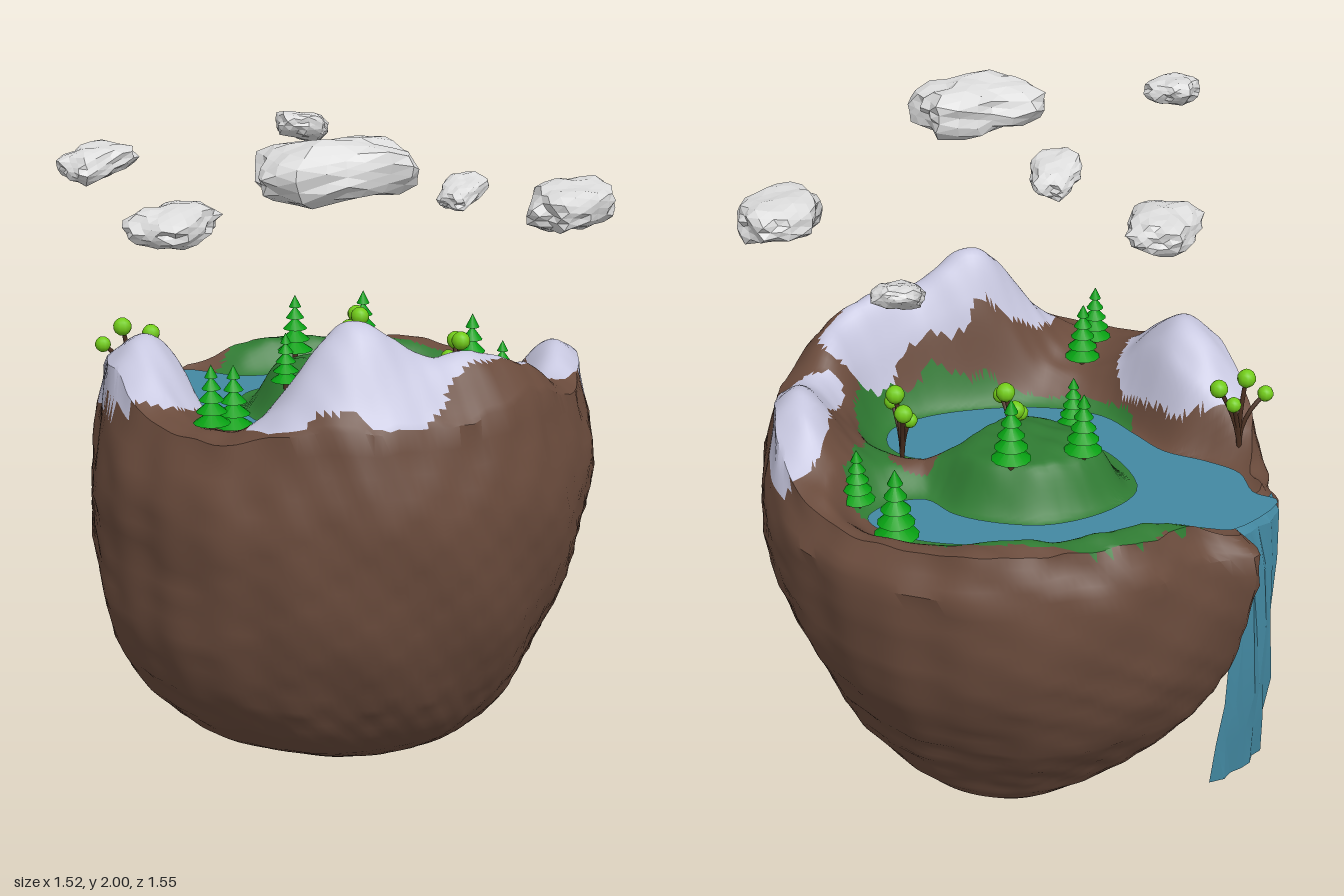
import * as THREE from 'three';
import { toCreasedNormals } from 'three/addons/utils/BufferGeometryUtils.js';

const { smoothstep, lerp } = THREE.MathUtils;
const mat = (name, color, side = THREE.FrontSide) => {
  const m = new THREE.MeshStandardMaterial({ color, side });
  m.name = name;
  return m;
};
const WATER = 1.04, SEG = 200, TOP_RINGS = 60;
const FALL_ANGLE = Math.atan2(-0.5, -0.58);

// Smooth closed outline in the x-z plane
const outline = (pts, n) => new THREE.CatmullRomCurve3(
  pts.map(([x, z]) => new THREE.Vector3(x, 0, z)), true, 'centripetal').getPoints(n);

const lake = outline([
  [-0.48, -0.58], [-0.42, -0.56], [-0.3, -0.5], [-0.15, -0.52], [0, -0.535], [0.2, -0.49], [0.37, -0.42],
  [0.47, -0.33], [0.49, -0.26], [0.42, -0.2], [0.31, -0.2], [0.25, -0.3], [0.14, -0.38], [0, -0.425],
  [-0.18, -0.39], [-0.29, -0.3], [-0.29, -0.12], [-0.22, 0.02], [-0.08, 0.12], [0.08, 0.09], [0.2, 0.03],
  [0.3, 0.05], [0.35, 0.14], [0.32, 0.24], [0.2, 0.295], [0, 0.3], [-0.2, 0.25], [-0.33, 0.16],
  [-0.39, 0.02], [-0.44, -0.1], [-0.54, -0.19], [-0.61, -0.28], [-0.61, -0.4], [-0.66, -0.46]], 150);
const meadow = outline([
  [-0.42, -0.53], [-0.33, -0.63], [-0.2, -0.7], [0, -0.69], [0.2, -0.63], [0.38, -0.53], [0.39, -0.42],
  [0.47, -0.27], [0.54, -0.2], [0.51, -0.08], [0.43, 0.02], [0.43, 0.25], [0.33, 0.33], [0.15, 0.38],
  [-0.1, 0.34], [-0.28, 0.27], [-0.39, 0.15], [-0.36, 0], [-0.33, -0.25]], 90);
const snowfields = [
  [[-0.28, 0.55], [-0.21, 0.46], [-0.1, 0.43], [0.05, 0.41], [0.2, 0.41], [0.35, 0.32], [0.48, 0.28],
    [0.51, 0.35], [0.4, 0.46], [0.28, 0.54], [0.2, 0.64], [0.08, 0.68], [-0.12, 0.66]],
  [[-0.74, -0.02], [-0.66, -0.1], [-0.54, -0.1], [-0.47, 0], [-0.4, 0.15], [-0.42, 0.28], [-0.5, 0.36],
    [-0.6, 0.34], [-0.68, 0.22], [-0.73, 0.1]],
  [[0.61, -0.15], [0.7, -0.17], [0.73, -0.05], [0.7, 0.1], [0.64, 0.2], [0.56, 0.26], [0.48, 0.22], [0.52, 0.08]],
].map((pts) => outline(pts, 60));

function inside(poly, x, z) {
  let hit = false;
  for (let i = 1; i < poly.length; i++) {
    const a = poly[i - 1], b = poly[i];
    if ((a.z > z) !== (b.z > z) && x < a.x + (b.x - a.x) * (z - a.z) / (b.z - a.z)) hit = !hit;
  }
  return hit;
}

// Distance to the shore, zero on the water
function shore(x, z) {
  if (inside(lake, x, z)) return 0;
  let best = 9;
  for (let i = 1; i < lake.length; i++) {
    const a = lake[i - 1], dx = lake[i].x - a.x, dz = lake[i].z - a.z;
    const t = Math.min(1, Math.max(0, ((x - a.x) * dx + (z - a.z) * dz) / (dx * dx + dz * dz + 1e-9)));
    best = Math.min(best, Math.hypot(x - a.x - t * dx, z - a.z - t * dz));
  }
  return best;
}

// Peaks: x, z, height, spread in x, spread towards back, spread towards front
const peaks = [
  [0, 0.505, 0.365, 0.14, 0.085, 0.105], [0.32, 0.46, 0.21, 0.12, 0.065, 0.09],
  [0.48, 0.34, 0.14, 0.08, 0.08, 0.08], [-0.56, 0.13, 0.2, 0.12, 0.14, 0.14],
  [0.61, 0.03, 0.14, 0.085, 0.13, 0.14], [0, -0.63, 0.03, 0.3, 0.06, 0.06]];
const peakAt = ([px, pz, h, sx, back, front], x, z) =>
  h * Math.exp(-(((x - px) / sx) ** 2 + ((z - pz) / (z < pz ? back : front)) ** 2) / 2);
const noise = (x, y, z) => (Math.sin(9 * x + 4 * y + 1) * Math.sin(8 * z - 5 * y + 2)
  + 0.6 * Math.sin(19 * x - 13 * y) * Math.sin(17 * z + 15 * y + 1)
  + 0.4 * Math.sin(37 * y + 11 * x) * Math.sin(29 * x - 31 * z));

function height(x, z) {
  const bank = smoothstep(shore(x, z), 0.006, 0.12);
  const hill = Math.max(0, 1 - ((x + 0.01) / 0.31) ** 2 - ((z + 0.17) / 0.31) ** 2);
  const rimLift = 0.07 * smoothstep(z, -0.35, 0.1) * smoothstep(Math.hypot(x, z), 0.42, 0.64);
  const mountains = peaks.reduce((sum, p) => sum + peakAt(p, x, z), rimLift);
  return WATER - 0.012 + bank * (0.07 + 0.09 * hill + mountains + 0.006 * noise(x * 2, 0, z * 2));
}

function groundColour(x, z) {
  const n = 0.012 * noise(x * 2, 0.3, z * 2);
  if (snowfields.some((s) => inside(s, x + n, z - n))) return 1;
  const bare = Math.hypot(x - 0.3, z + 0.05) < 0.08 + n;
  return inside(meadow, x + n, z + n) && !bare ? 2 : 0;
}

// Levels of the rock: y, left, right, back, front; the first is the rim
const levels = [
  [1.12, -0.7, 0.7, -0.71, 0.69], [1, -0.745, 0.75, -0.765, 0.745], [0.8, -0.75, 0.735, -0.77, 0.74],
  [0.6, -0.745, 0.68, -0.73, 0.71], [0.4, -0.69, 0.6, -0.64, 0.63], [0.28, -0.625, 0.545, -0.555, 0.55],
  [0.18, -0.54, 0.48, -0.48, 0.455], [0.1, -0.4, 0.41, -0.425, 0.33], [0.05, -0.26, 0.33, -0.38, 0.18],
  [0.02, -0.1, 0.2, -0.34, 0], [0, 0.05, 0.05, -0.24, -0.24]];

function rockPoint(level, a) {
  const i = Math.min(levels.length - 2, Math.floor(level)), t = level - i;
  const before = levels[Math.max(0, i - 1)], after = levels[Math.min(levels.length - 1, i + 2)];
  // Cubic blend between levels
  const [y, x0, x1, z0, z1] = levels[i].map((p, k) => {
    const q = levels[i + 1][k], m = (q - before[k]) / 2, n = (after[k] - p) / 2;
    return k ? p + t * (m + t * (3 * (q - p) - 2 * m - n + t * (2 * (p - q) + m + n))) : lerp(p, q, t);
  });
  const bump = (centre, width) => Math.exp(-(((a - centre) / width) ** 2));
  // Gully behind the waterfall with a shoulder on each side
  const gully = smoothstep(y, 0.35, 1) * (0.09 * bump(FALL_ANGLE + 0.18, 0.09)
    + 0.045 * bump(FALL_ANGLE - 0.18, 0.09)) - smoothstep(y, 0.1, 0.9) * 0.07 * bump(FALL_ANGLE, 0.12);
  const c = Math.cos(a), s = Math.sin(a);
  const k = 1 + gully / 0.75 + 0.013 * noise(c, y * 1.5, s) * Math.min(1, y * 5);
  return [(x0 + x1) / 2 + (x1 - x0) / 2 * c * k, y, (z0 + z1) / 2 + (z1 - z0) / 2 * s * k];
}

// Ground rings run outward to the rim, then rock rings run down to the base
function makeIsland(materials) {
  const rings = [], perLevel = 4, rockRings = (levels.length - 1) * perLevel;
  for (let i = 0; i <= TOP_RINGS + rockRings; i++) {
    const ring = [];
    for (let j = 0; j < SEG; j++) {
      const a = -Math.PI + j / SEG * Math.PI * 2, level = Math.max(0, (i - TOP_RINGS) / perLevel);
      const [x, y, z] = rockPoint(level, a);
      if (i <= TOP_RINGS) {
        const s = i / TOP_RINGS;
        ring.push([x * s, height(x * s, z * s), z * s]);
      } else ring.push([x, level < 1 ? lerp(rings[TOP_RINGS][j][1], levels[1][0], level) : y, z]);
    }
    rings.push(ring);
  }
  const faces = [[], [], []];
  for (let i = 0; i < rings.length - 1; i++) for (let j = 0; j < SEG; j++) {
    const k = (j + 1) % SEG, a = rings[i][j], b = rings[i][k], c = rings[i + 1][j], d = rings[i + 1][k];
    const tris = [];
    if (i > 0) tris.push([a, b, c]);
    if (i < rings.length - 2) tris.push([b, d, c]);
    for (const t of tris) {
      const x = (t[0][0] + t[1][0] + t[2][0]) / 3, z = (t[0][2] + t[1][2] + t[2][2]) / 3;
      faces[i < TOP_RINGS + 2 ? groundColour(x, z) : 0].push(...t.flat());
    }
  }
  const geo = new THREE.BufferGeometry();
  geo.setAttribute('position', new THREE.Float32BufferAttribute(faces.flat(), 3));
  let start = 0;
  faces.forEach((f, m) => { geo.addGroup(start, f.length / 3, m); start += f.length / 3; });
  return new THREE.Mesh(toCreasedNormals(geo, 0.6), materials);
}

// Ribbon of falling water: y, distance from the centre, width
function makeWaterfall(material) {
  const rows = [[WATER, 0.75, 0.24], [0.99, 0.78, 0.24], [0.85, 0.795, 0.18], [0.65, 0.8, 0.18],
    [0.42, 0.795, 0.21], [0.28, 0.785, 0.23], [0.13, 0.775, 0.23]];
  const geo = new THREE.PlaneGeometry(1, 1, 6, rows.length - 1), p = geo.attributes.position;
  const c = Math.cos(FALL_ANGLE), s = Math.sin(FALL_ANGLE);
  for (let i = 0; i < p.count; i++) {
    const u = p.getX(i), row = Math.floor(i / 7), [y, r, w] = rows[row];
    const out = r - 0.08 * u * u + 0.008 * Math.sin(i * 2.3) * Math.min(1, row);
    p.setXYZ(i, c * out + 0.87 * u * w, y, s * out - 0.5 * u * w);
  }
  return new THREE.Mesh(toCreasedNormals(geo, 0.3), material);
}

// Lumpy cloud with flat facets
function makeCloud(material, seed) {
  const geo = new THREE.IcosahedronGeometry(1, 3), p = geo.attributes.position, v = new THREE.Vector3();
  for (let i = 0; i < p.count; i++) {
    v.fromBufferAttribute(p, i);
    const box = (Math.abs(v.x) ** 3 + Math.abs(v.y) ** 3 + Math.abs(v.z) ** 3) ** (-1 / 3);
    v.multiplyScalar(0.46 * box * (1 + 0.12 * noise(v.x * 0.45 + seed, v.y * 0.3, v.z * 0.45)));
    p.setXYZ(i, v.x, v.y, v.z);
  }
  geo.computeVertexNormals();
  return new THREE.Mesh(geo, material);
}

export function createModel() {
  const model = new THREE.Group();
  const rock = mat('rock brown', 0x6a4b3c), snow = mat('snow', 0xc6c6de), grass = mat('grass green', 0x2f7a32);
  const water = mat('water blue', 0x4389a2, THREE.DoubleSide), cloud = mat('cloud grey', 0xdcdcdc);
  const pine = mat('pine green', 0x06a012), leaf = mat('leaf green', 0x72cc18), bark = mat('bark brown', 0x4a2f20);
  const add = (parent, name, object, x = 0, y = 0, z = 0) => {
    object.name = name;
    object.position.set(x, y, z);
    parent.add(object);
    return object;
  };
  add(model, 'island', makeIsland([rock, snow, grass]));
  const surface = new THREE.ShapeGeometry(new THREE.Shape(lake.slice(0, -1).map((q) => new THREE.Vector2(q.x, -q.z))));
  add(model, 'lake', new THREE.Mesh(surface.rotateX(-Math.PI / 2), water), 0, WATER, 0);
  add(model, 'waterfall', makeWaterfall(water));

  // Pines: x, z, size
  for (const [x, z, s] of [[0.435, -0.4, 1.1], [0.505, -0.205, 0.85], [-0.13, -0.285, 0.95], [0.08, -0.285, 1],
    [-0.165, -0.065, 0.8], [-0.38, 0.43, 0.9], [-0.32, 0.36, 0.95]]) {
    const tree = add(model, 'pineTree', new THREE.Group(), x, height(x, z) - 0.01, z);
    add(tree, 'trunk', new THREE.Mesh(new THREE.CylinderGeometry(0.007, 0.01, 0.16, 7), bark), 0, 0.08, 0);
    for (let i = 0; i < 5; i++) {
      const cone = new THREE.ConeGeometry(0.058 - i * 0.0095, 0.04, 12);
      add(tree, 'foliage', new THREE.Mesh(cone, pine), 0, 0.055 + i * 0.036, 0);
    }
    tree.scale.setScalar(s);
  }

  // Branching trees: x, z, turn, height; leaf balls lie along the local x axis
  for (const [x, z, turn, tall] of [[0.34, -0.02, 1.7, 1.05], [0.05, -0.165, 1.7, 0.75], [-0.64, -0.195, 0.1, 1.1]]) {
    const tree = add(model, 'leafyTree', new THREE.Group(), x, height(x, z) - 0.01, z);
    tree.rotation.y = turn;
    for (const [bx, by, bz, r] of [[-0.075, 0.15, 0, 0.024], [-0.015, 0.2, 0.01, 0.028],
      [0.035, 0.14, -0.015, 0.023], [0.07, 0.18, 0.015, 0.027]]) {
      const branch = new THREE.QuadraticBezierCurve3(new THREE.Vector3(),
        new THREE.Vector3(0.01, 0.09 * tall, 0), new THREE.Vector3(bx, by * tall, bz));
      add(tree, 'branch', new THREE.Mesh(new THREE.TubeGeometry(branch, 6, 0.007, 5), bark));
      add(tree, 'leafBall', new THREE.Mesh(new THREE.SphereGeometry(r, 10, 7), leaf), bx, by * tall, bz);
    }
  }

  // Clouds: position, length, height, depth, yaw, roll
  [[-0.05, 1.915, 0.62, 0.44, 0.16, 0.27, 0.2, 0.02], [0.61, 1.75, 0.29, 0.33, 0.125, 0.22, 1.05, 0.05],
    [-0.48, 1.67, 0.11, 0.32, 0.115, 0.22, 1.05, 0.02], [0.37, 1.69, -0.22, 0.2, 0.07, 0.13, 1, 0.3],
    [-0.11, 1.92, -0.03, 0.21, 0.08, 0.14, 1.15, -0.25], [-0.66, 1.93, 0.56, 0.22, 0.085, 0.15, 0.9, 0.12],
  ].forEach(([x, y, z, l, h, d, yaw, roll], i) => {
    const c = add(model, 'cloud', makeCloud(cloud, i * 1.7), x, y, z);
    c.scale.set(l, h, d);
    c.rotation.set(0, yaw, roll);
  });
  return model;
}
